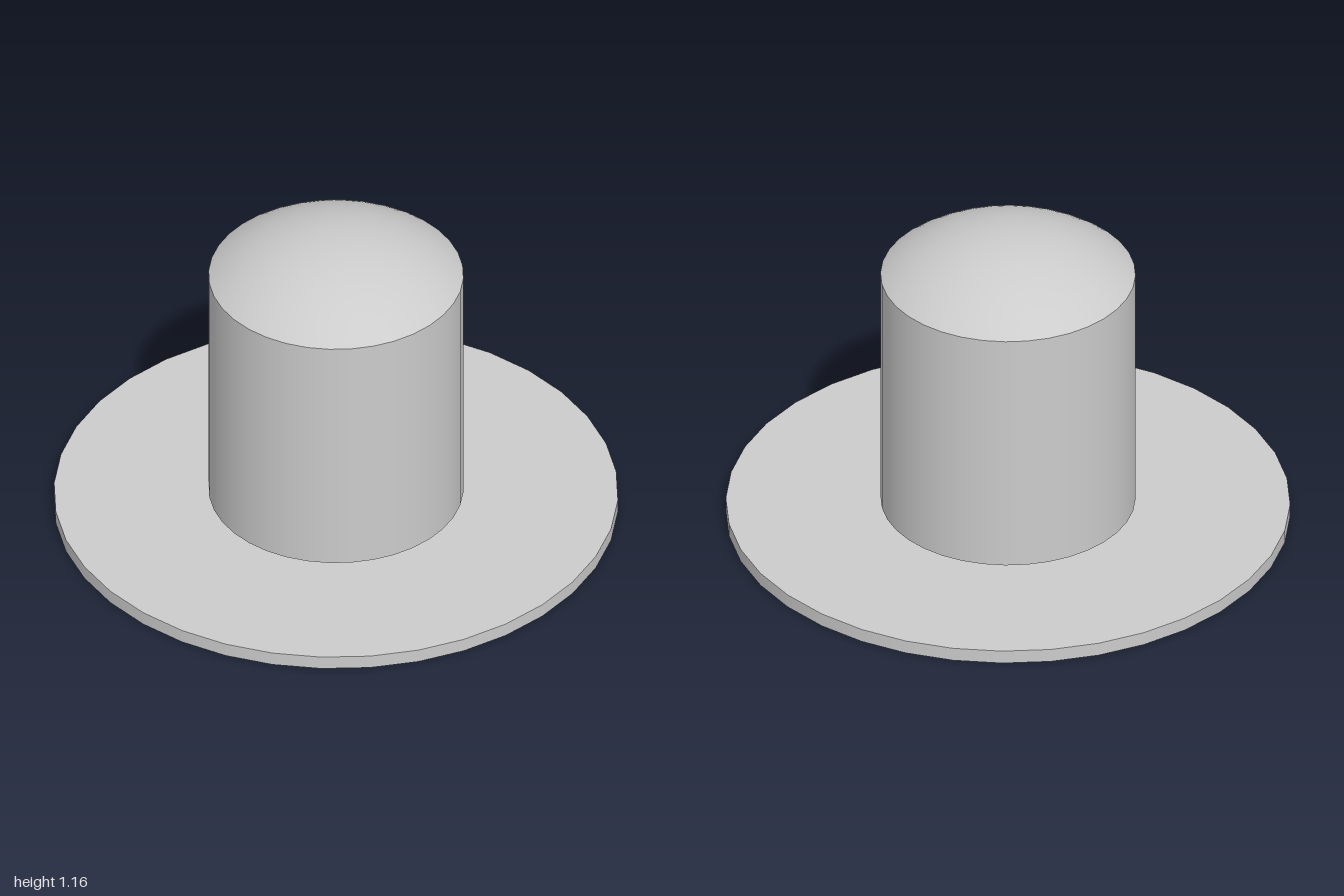
import * as THREE from 'three';

const SIDES = 36;
const BODY_RADIUS = 0.452, BODY_BOTTOM = 0.065, BODY_TOP = 1.0;
const DOME_HEIGHT = 0.158;

export function createModel() {
  const group = new THREE.Group();
  const material = new THREE.MeshStandardMaterial({ color: 0xcccccc, side: THREE.DoubleSide });
  const add = (name, geometry, y = 0) => {
    const mesh = new THREE.Mesh(geometry, material);
    mesh.name = name;
    mesh.position.y = y;
    group.add(mesh);
  };

  // Flat brim with a round hole; repeated corner points keep its edges sharp
  const inner = 0.38, thick = 0.05;
  const corners = [[inner, 0], [1, 0], [1, thick], [inner, thick]];
  const profile = corners.flatMap((p, i) => [p, corners[(i + 1) % 4]]);
  add('brim', new THREE.LatheGeometry(profile.map(([x, y]) => new THREE.Vector2(x, y)), SIDES));

  // Hollow crown wall, floating just above the brim
  const height = BODY_TOP - BODY_BOTTOM;
  add('crownWall',
    new THREE.CylinderGeometry(BODY_RADIUS, BODY_RADIUS, height, SIDES, 1, true),
    BODY_BOTTOM + height / 2);

  // Shallow spherical cap closing the crown
  const r = (BODY_RADIUS ** 2 + DOME_HEIGHT ** 2) / (2 * DOME_HEIGHT);
  add('domeTop',
    new THREE.SphereGeometry(r, SIDES, 16, 0, Math.PI * 2, 0, Math.asin(BODY_RADIUS / r)),
    BODY_TOP + DOME_HEIGHT - r);

  return group;
}
